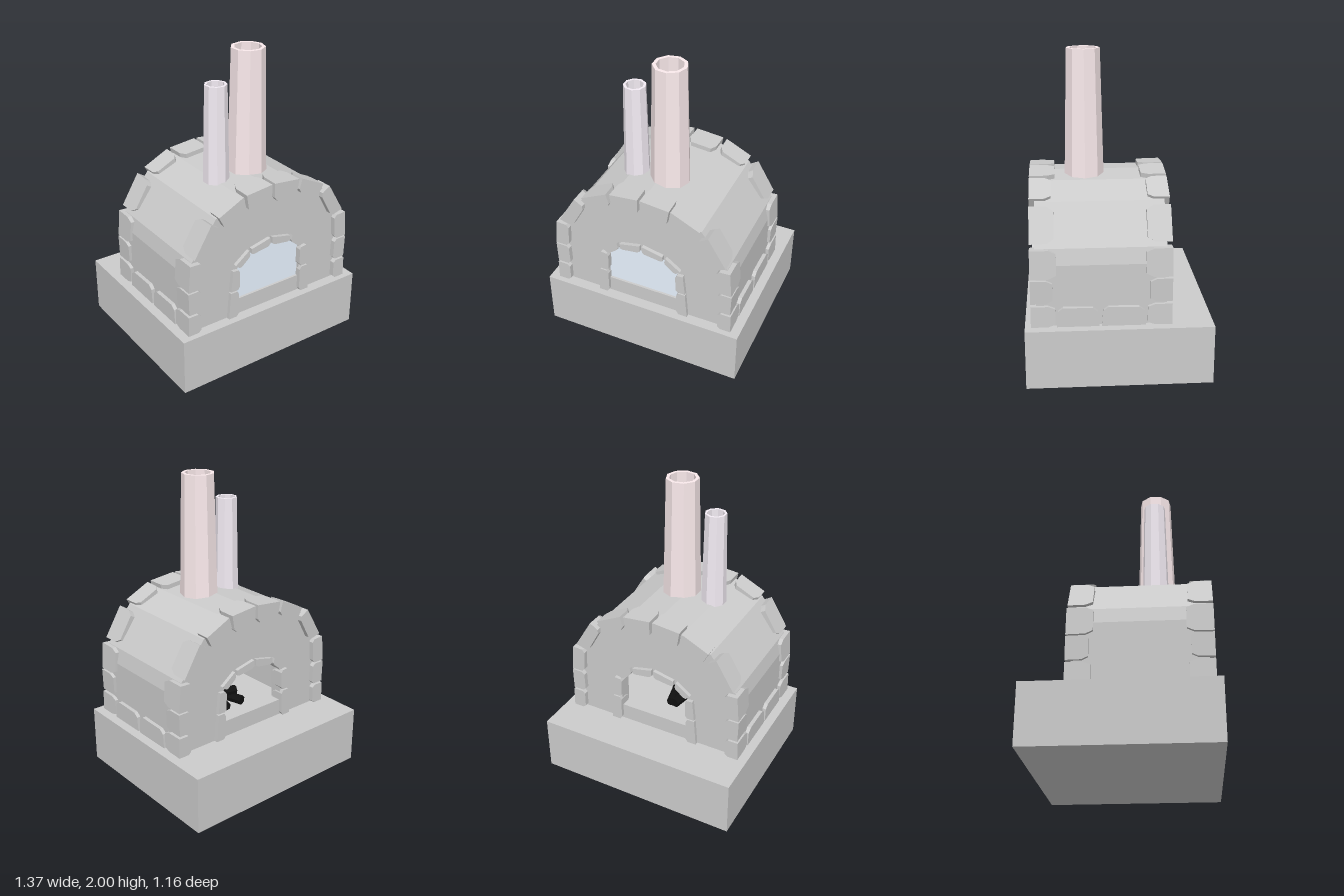
import * as THREE from 'three';
import { ConvexGeometry } from 'three/addons/geometries/ConvexGeometry.js';

const mat = (color) => new THREE.MeshStandardMaterial({ color, flatShading: true, side: THREE.DoubleSide });
const grey = mat(0xcccccc);
const FRONT = 0.51, BACK = -0.29, MID = (FRONT + BACK) / 2, FLOOR = 0.38;

// Full left-right symmetric outline from its right half, listed bottom to top centre
const mirrored = (half) => [
  ...half,
  ...half.slice().reverse().filter(([x]) => x > 0).map(([x, y]) => [-x, y]),
].map(([x, y]) => new THREE.Vector2(x, y));

const OUTER = mirrored([[0.6, FLOOR], [0.6, 0.77], [0.575, 0.87], [0.4, 1.11], [0.2, 1.19], [0, 1.21]]);
const INNER = mirrored([[0.48, FLOOR], [0.48, 0.75], [0.45, 0.83], [0.32, 1.0], [0.16, 1.07], [0, 1.09]]);
const DOOR = mirrored([[0.25, 0.49], [0.245, 0.715], [0.155, 0.795], [0, 0.815]]);

function add(parent, name, geometry, material = grey) {
  const mesh = new THREE.Mesh(geometry, material);
  mesh.name = name;
  parent.add(mesh);
  return mesh;
}

function plate(outline, hole, z, depth) {
  const shape = new THREE.Shape(outline);
  if (hole) shape.holes.push(new THREE.Path(hole));
  return new THREE.ExtrudeGeometry(shape, { depth, bevelEnabled: false }).translate(0, 0, z);
}

// Rough block: outer edge o0-o1, inner edge i0-i1 with cut corners, narrowing towards zEnd
function stone([o0, o1, i0, i1], zFace, zEnd, sx = 1) {
  const pts = [];
  const sections = [[zFace, 0], [zFace + (zEnd - zFace) * 0.72, 0.01], [zEnd, 0.13]];
  const mix = (a, b, t) => [a[0] + (b[0] - a[0]) * t, a[1] + (b[1] - a[1]) * t];
  for (const [z, s] of sections) {
    const a = mix(o0, o1, s), b = mix(o1, o0, s), c = mix(i1, i0, s), d = mix(i0, i1, s);
    const loop = [a, b, mix(b, c, 0.8), mix(c, d, 0.12), mix(d, c, 0.12), mix(a, d, 0.8)];
    for (const [x, y] of loop) pts.push(new THREE.Vector3(x * sx, y, z));
  }
  return new ConvexGeometry(pts);
}

// Faceted hollow pipe
function pipe(bottomR, topR, wall, y0, y1) {
  const profile = [[bottomR, y0], [topR, y1], [topR - wall, y1], [bottomR - wall, y0]];
  return new THREE.LatheGeometry(profile.map(([x, y]) => new THREE.Vector2(x, y)), 9).toNonIndexed();
}

export function createModel() {
  const oven = new THREE.Group();
  oven.name = 'outdoorOven';

  // Plinth
  add(oven, 'plinth', new THREE.BoxGeometry(1.37, FLOOR, 1.16).translate(0, FLOOR / 2, 0));

  // Vault and the two end walls with openings
  add(oven, 'vault', plate(OUTER, INNER, BACK + 0.08, FRONT - BACK - 0.16));
  add(oven, 'frontWall', plate(OUTER, DOOR, FRONT - 0.08, 0.08));
  add(oven, 'backWall', plate(OUTER, DOOR, BACK, 0.08));

  // Pale glass in the front opening
  add(oven, 'glassPane', new THREE.ShapeGeometry(new THREE.Shape(DOOR)).translate(0, 0, FRONT - 0.015), mat(0xe8f3ff));

  // Edge stones: outer edge, inner edge, depth along the vault
  const edgeStones = [
    [[[0.625, 0.38], [0.622, 0.515], [0.535, 0.38], [0.535, 0.515]], 0.15],
    [[[0.618, 0.53], [0.622, 0.68], [0.525, 0.53], [0.53, 0.68]], 0.135],
    [[[0.62, 0.69], [0.605, 0.87], [0.525, 0.69], [0.515, 0.865]], 0.16],
    [[[0.575, 0.9], [0.455, 1.1], [0.485, 0.875], [0.385, 1.055]], 0.15],
    [[[0.4, 1.13], [0.225, 1.215], [0.355, 1.045], [0.2, 1.13]], 0.135],
    [[[0.2, 1.22], [0.01, 1.24], [0.18, 1.1], [0.012, 1.12]], 0.16],
  ];
  // Stones framing each opening
  const frameStones = [
    [[0.32, 0.38], [0.305, 0.565], [0.245, 0.38], [0.245, 0.565]],
    [[0.305, 0.575], [0.29, 0.72], [0.24, 0.575], [0.238, 0.715]],
    [[0.27, 0.755], [0.17, 0.83], [0.235, 0.725], [0.16, 0.787]],
    [[0.15, 0.835], [0.008, 0.867], [0.15, 0.793], [0.008, 0.813]],
  ];
  for (const end of ['front', 'back']) {
    const group = new THREE.Group();
    group.name = end + 'Stones';
    group.position.z = MID;
    if (end === 'back') group.rotation.y = Math.PI;
    const face = FRONT - MID + 0.033;
    for (const sx of [1, -1]) {
      edgeStones.forEach(([corners, depth]) => add(group, 'edgeStone', stone(corners, face, face - depth, sx)));
      frameStones.forEach((corners) => add(group, 'openingStone', stone(corners, face - 0.008, face - 0.1, sx)));
    }
    oven.add(group);
  }

  // Low stones along both sides
  for (const side of [1, -1]) {
    for (const [z0, z1] of [[0.385, 0.125], [0.11, -0.16]]) {
      const corners = [[-z0, 0.38], [-z1, 0.38], [-z0 + 0.01, 0.505], [-z1 - 0.01, 0.5]];
      const mesh = add(oven, 'sideStone', stone(corners, 0.625, 0.56, side));
      mesh.rotation.y = side * Math.PI / 2;
    }
  }

  // Two flues
  const large = add(oven, 'largeFlue', pipe(0.128, 0.107, 0.022, 1.18, 2), mat(0xfaeaec));
  large.position.set(0.052, 0, 0.192);
  large.rotation.y = 0.2;
  const small = add(oven, 'smallFlue', pipe(0.084, 0.071, 0.016, 1.18, 1.81), mat(0xf3ecf4));
  small.position.set(-0.182, 0, 0.192);
  small.rotation.y = 0.2;

  // Charred logs on the oven floor
  const char = mat(0x111111);
  [[-0.11, 0.41, 0.3], [-0.03, 0.41, -0.2], [0.05, 0.41, 0.25], [-0.04, 0.455, 1.3]].forEach(([x, y, turn]) => {
    const log = add(oven, 'log', new THREE.CylinderGeometry(0.03, 0.034, 0.25, 7).rotateX(Math.PI / 2), char);
    log.position.set(x, y, 0.1);
    log.rotation.y = turn;
  });

  return oven;
}
